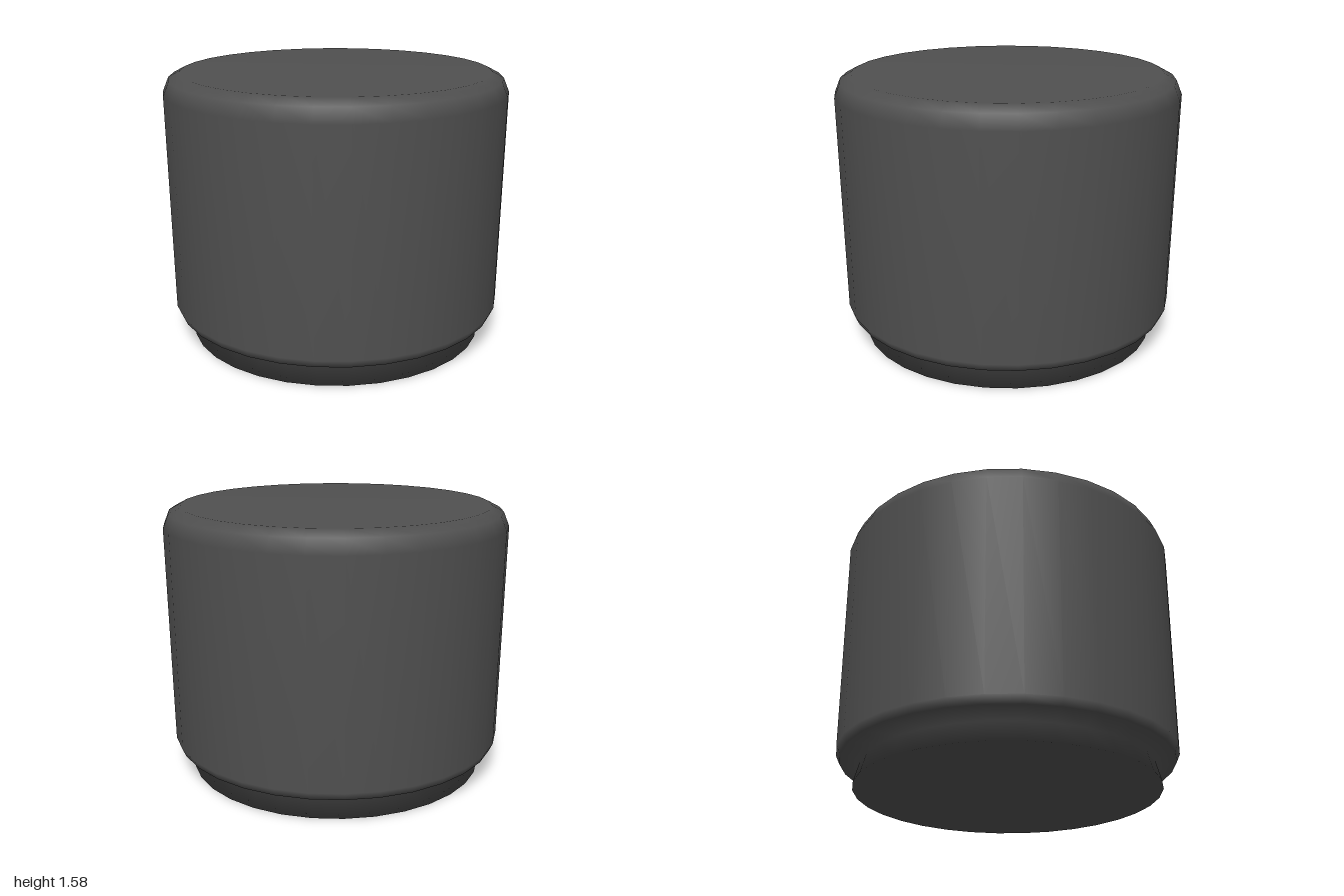
import * as THREE from 'three';

export function createModel() {
  const group = new THREE.Group();
  group.name = 'knob';

  // Profile from the underside centre up to the top centre: [radius, height]
  const profile = [
    [0, 0], [0.88, 0], // flat underside
    [0.85, 0.115], // flared foot
    [0.965, 0.155], [0.985, 0.2], // rounded lower edge
    [1, 1.465], // slightly tapered wall
    [0.967, 1.545], [0.9, 1.58], // rounded upper edge
    [0, 1.58], // flat top
  ].map(([r, y]) => new THREE.Vector2(r, y));

  // Smooth 32-sided turned body
  const body = new THREE.Mesh(
    new THREE.LatheGeometry(profile, 32),
    new THREE.MeshStandardMaterial({ color: 0x505050 })
  );
  body.name = 'knobBody';
  group.add(body);
  return group;
}
